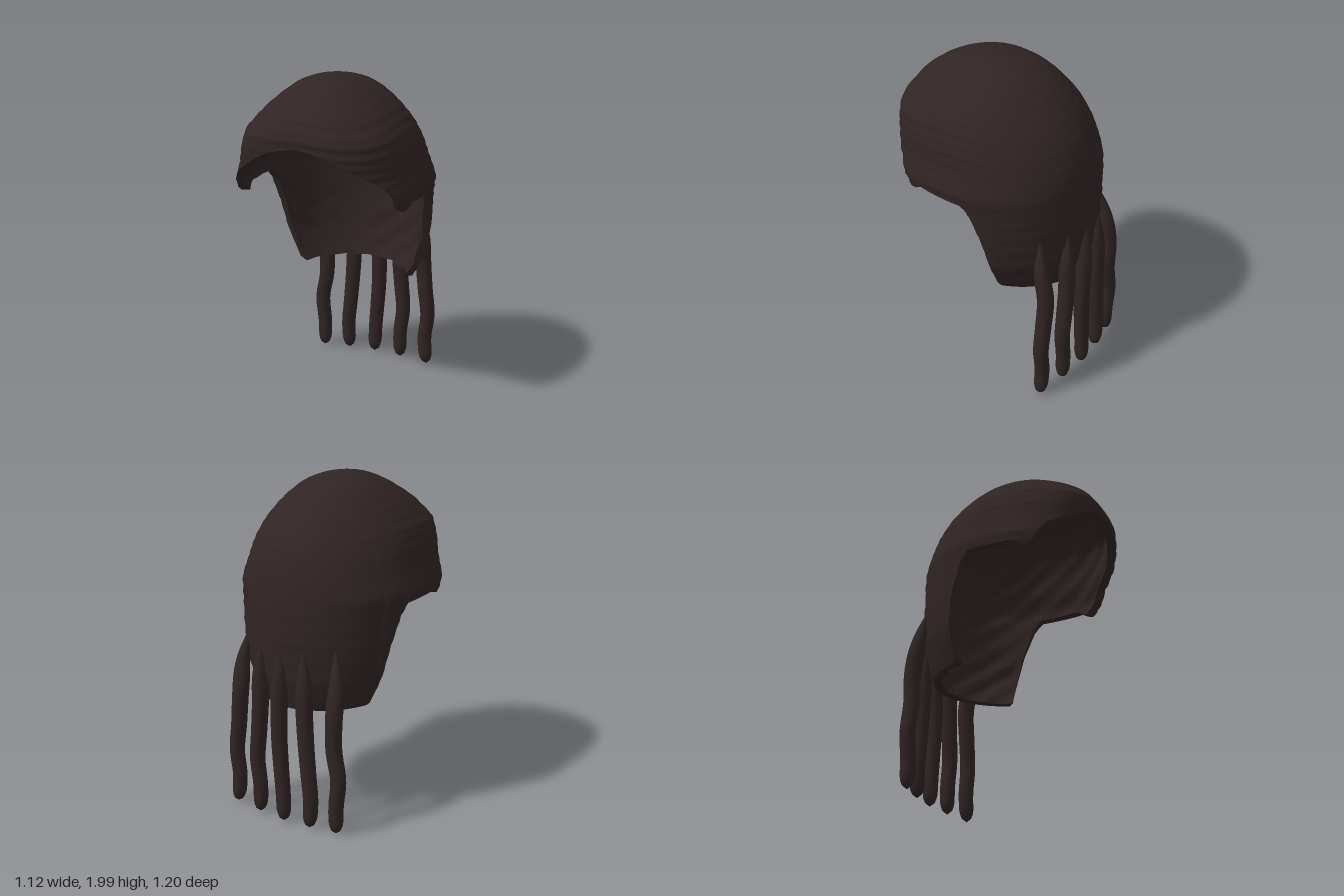
import * as THREE from 'three';
import { mergeVertices } from 'three/addons/utils/BufferGeometryUtils.js';

// Horizontal sections of the hair: y, half width, front z, back z
const SECTIONS = [
  [2, 0, 0.1, 0.1], [1.98, 0.14, 0.25, -0.07], [1.95, 0.215, 0.33, -0.16], [1.9, 0.285, 0.425, -0.245],
  [1.82, 0.37, 0.535, -0.335], [1.72, 0.447, 0.6, -0.42], [1.62, 0.49, 0.6, -0.48],
  [1.5, 0.52, 0.585, -0.525], [1.39, 0.56, 0.58, -0.545], [1.3, 0.545, 0.58, -0.555],
  [1.1, 0.535, 0.58, -0.56], [0.92, 0.515, 0.58, -0.55], [0.8, 0.465, 0.58, -0.53], [0.72, 0.42, 0.58, -0.505],
];

// Hem from the middle of the brow round to the nape: z, y
const HEM = [
  [0.58, 1.67], [0.57, 1.63], [0.51, 1.53], [0.41, 1.45], [0.35, 1.34], [0.31, 1.3], [0.28, 1.31],
  [0.23, 1.34], [-0.05, 1.335], [-0.1, 1.27], [-0.16, 1.1], [-0.2, 0.92], [-0.225, 0.74],
  [-0.24, 0.72], [-0.4, 0.72], [-0.54, 0.72],
];

const ROWS = 60;
const STEPS = 5;

function sectionAt(y) {
  let i = 1;
  while (i < SECTIONS.length - 1 && SECTIONS[i][0] > y) i++;
  const a = SECTIONS[i - 1], b = SECTIONS[i];
  const depth = (v) => Math.sqrt(Math.max(0, 2 - v));
  const t = Math.min(1, (depth(y) - depth(a[0])) / (depth(b[0]) - depth(a[0])));
  return a.map((v, k) => v + (b[k] - v) * t);
}

// Columns running all the way round: angle, hem height and side
function makeColumns() {
  const half = [];
  const angle = (z) => Math.acos(THREE.MathUtils.clamp((z - 0.02) / 0.56, -1, 1));
  for (let i = 0; i < HEM.length - 1; i++) {
    const a = angle(HEM[i][0]), b = angle(HEM[i + 1][0]);
    for (let s = 0; s < STEPS; s++) {
      const t = s / STEPS;
      half.push({ angle: a + (b - a) * t, hem: HEM[i][1] + (HEM[i + 1][1] - HEM[i][1]) * t, side: 1 });
    }
  }
  half.push({ angle: Math.PI, hem: 0.72, side: 1 });
  const mirrored = half.slice(1, -1).reverse().map((c) => ({ ...c, side: -1 }));
  return [...half, ...mirrored];
}

// Point on the hair; u runs from crown (0) to hem (1)
function hairPoint(col, u, inner) {
  const y = 2 - (2 - col.hem) * u * u;
  const [, w, zf, zb] = sectionAt(y);
  const mid = (zf + zb) / 2, reach = (zf - zb) / 2;
  const c = Math.cos(col.angle);
  const power = c > 0 ? 2 + Math.min(1, (2 - y) / 0.3) ** 2 : 2;
  const s = Math.pow(Math.max(0, 1 - Math.pow(Math.abs(c), power)), 1 / power);
  // Shallow overlapping layers outside, crumpled nape inside
  const wave = Math.sin(y * 115 + 2 * Math.sin(col.angle * 3) + col.side * s);
  const crumple = y < 1.05 ? 0.02 : 0.008;
  const k = inner ? 0.905 + crumple * Math.sin(y * 37 + col.angle * 14) : 1 + 0.006 * wave;
  const drop = inner ? 0.06 * (1 - u) : 0;
  return [col.side * s * w * k, y - drop, mid + c * reach * k];
}

// Skin a list of closed loops, running from crown to hem
function skin(loops) {
  const n = loops[0].length, index = [];
  for (let r = 0; r < loops.length - 1; r++) {
    for (let i = 0; i < n; i++) {
      const j = (i + 1) % n;
      const a = r * n + i, b = r * n + j, c = a + n, d = b + n;
      index.push(a, c, b, b, c, d);
    }
  }
  const g = new THREE.BufferGeometry();
  g.setAttribute('position', new THREE.Float32BufferAttribute(loops.flat(2), 3));
  g.setIndex(index);
  const merged = mergeVertices(g, 1e-5);
  merged.computeVertexNormals();
  return merged;
}

// Lock following a curve: slender root that swells out of the hair, rounded tip
function lockGeometry(points) {
  const curve = new THREE.CatmullRomCurve3(points.map((p) => new THREE.Vector3(...p)));
  const n = 48, sides = 12, radius = 0.054;
  const g = new THREE.TubeGeometry(curve, n, radius, sides, false);
  const pos = g.attributes.position, v = new THREE.Vector3();
  for (let i = 0; i <= n; i++) {
    const t = i / n, centre = curve.getPointAt(t);
    const root = Math.min(1, t / 0.3), tip = Math.min(1, (1 - t) / 0.08);
    const k = Math.sin(root * Math.PI / 2) * Math.sqrt(1 - (1 - tip) ** 2) * (1 - 0.2 * t);
    for (let j = 0; j <= sides; j++) {
      const id = i * (sides + 1) + j;
      v.fromBufferAttribute(pos, id).sub(centre).multiplyScalar(k).add(centre);
      pos.setXYZ(id, v.x, v.y, v.z);
    }
  }
  g.deleteAttribute('uv');
  g.deleteAttribute('normal');
  const merged = mergeVertices(g, 1e-5);
  merged.computeVertexNormals();
  return merged;
}

export function createModel() {
  const group = new THREE.Group();
  group.name = 'hair';
  const darkBrown = new THREE.MeshStandardMaterial({ color: 0x302424, side: THREE.DoubleSide });
  darkBrown.name = 'darkBrown';
  const add = (name, geometry) => {
    const mesh = new THREE.Mesh(geometry, darkBrown);
    mesh.name = name;
    group.add(mesh);
  };

  // Hood of hair: outside, lining and the hem joining them
  const columns = makeColumns();
  const outer = [], inner = [];
  for (let r = 0; r <= ROWS; r++) {
    outer.push(columns.map((c) => hairPoint(c, r / ROWS, false)));
    inner.push(columns.map((c) => hairPoint(c, r / ROWS, true)));
  }
  add('outerHair', skin(outer));
  add('hairLining', skin([...inner].reverse()));
  add('hairHem', skin([outer[ROWS], inner[ROWS]]));

  // Five hanging locks: x at falling heights, root z, hanging z
  const heights = [1.12, 0.92, 0.72, 0.53, 0.35, 0.18, 0.008];
  const locks = [
    { x: [-0.31, -0.34, -0.345, -0.345, -0.375, -0.36, -0.36], root: -0.44, hang: -0.505 },
    { x: [-0.15, -0.155, -0.16, -0.17, -0.185, -0.2, -0.19], root: -0.525, hang: -0.535 },
    { x: [0, 0.005, 0.01, 0.012, 0.002, -0.01, -0.015], root: -0.545, hang: -0.55 },
    { x: [0.15, 0.16, 0.16, 0.175, 0.19, 0.172, 0.175], root: -0.525, hang: -0.535 },
    { x: [0.31, 0.335, 0.335, 0.352, 0.372, 0.355, 0.372], root: -0.44, hang: -0.505 },
  ];
  for (const { x, root, hang } of locks) {
    const points = heights.map((y, i) => [x[i], y, root + (hang - root) * Math.min(1, i / 2)]);
    add('hangingLock', lockGeometry(points));
  }
  return group;
}
